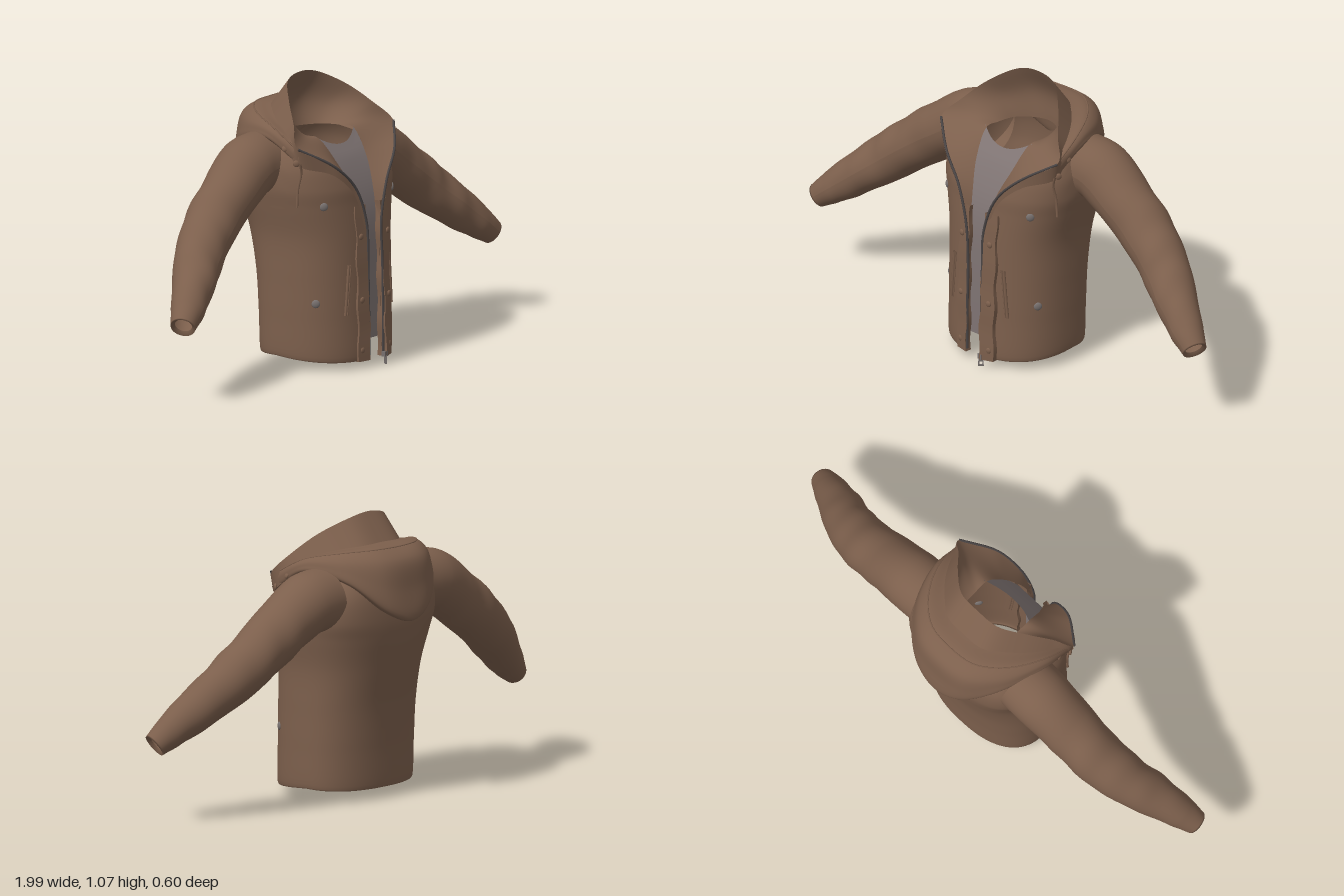
import * as THREE from 'three';
import { toCreasedNormals } from 'three/addons/utils/BufferGeometryUtils.js';

const V = (p) => new THREE.Vector3(...p);
const mat = (name, color) => {
  const m = new THREE.MeshStandardMaterial({ color, side: THREE.DoubleSide });
  m.name = name;
  return m;
};

// Mirrors a back-to-front half curve into one whole curve, from -x to +x
const whole = (half) => [
  ...half.slice(1).reverse().map(([x, y, z]) => [-x, y, z]), ...half,
];

// Smooth row of points through a few control points
const spline = (pts, n) => new THREE.CatmullRomCurve3(pts.map(V)).getPoints(n);

// Grid surface through rows of points with equal counts
function skin(rows) {
  const w = rows[0].length, pos = [], idx = [];
  rows.forEach((r) => r.forEach((p) => pos.push(p.x, p.y, p.z)));
  for (let i = 0; i < rows.length - 1; i++) {
    for (let j = 0; j < w - 1; j++) {
      const a = i * w + j, b = a + w;
      idx.push(a, a + 1, b, a + 1, b + 1, b);
    }
  }
  const g = new THREE.BufferGeometry();
  g.setAttribute('position', new THREE.Float32BufferAttribute(pos, 3));
  g.setIndex(idx);
  g.computeVertexNormals();
  return g;
}

// Blends rows smoothly across the surface too
function blend(rows, n) {
  const cols = rows[0].map((_, j) =>
    new THREE.CatmullRomCurve3(rows.map((r) => r[j])).getPoints(n));
  return skin(Array.from({ length: n + 1 }, (_, i) => cols.map((c) => c[i])));
}

// Body stations: height, half width, front z, back z, front opening half width, squareness of back
const BODY = [
  [0.05, 0.255, 0.265, -0.155, 0.045, 2.4], [0.2, 0.26, 0.265, -0.165, 0.045, 2.4],
  [0.35, 0.26, 0.262, -0.18, 0.045, 2.4], [0.5, 0.263, 0.258, -0.21, 0.045, 2.5],
  [0.62, 0.284, 0.25, -0.232, 0.06, 2.8], [0.69, 0.295, 0.245, -0.236, 0.095, 3.2],
  [0.77, 0.29, 0.222, -0.228, 0.175, 3.4], [0.83, 0.265, 0.18, -0.21, 0.22, 3.2],
  [0.88, 0.215, 0.12, -0.18, 0.2, 2.8],
];
const MID = 0.02, POW = 2.4;

// Front surface depth at a given place on the body
function frontZ(x, y) {
  let i = 0;
  while (i < BODY.length - 2 && BODY[i + 1][0] < y) i++;
  const [a, b] = [BODY[i], BODY[i + 1]];
  const t = THREE.MathUtils.clamp((y - a[0]) / (b[0] - a[0]), 0, 1);
  const w = a[1] + (b[1] - a[1]) * t, f = a[2] + (b[2] - a[2]) * t;
  const k = Math.max(0, 1 - Math.pow(Math.abs(x) / w, POW));
  return MID + (f - MID) * Math.pow(k, 1 / POW);
}

function bodyGeometry() {
  const n = 72;
  const rows = BODY.map(([y, w, f, b, gap, back], k) => {
    const a0 = Math.asin(Math.min(0.97, Math.pow(gap / w, POW / 2)));
    return Array.from({ length: n + 1 }, (_, i) => {
      const a = a0 + (2 * Math.PI - 2 * a0) * (i / n);
      const s = Math.sin(a), c = Math.cos(a), e = 2 / (c > 0 ? POW : back);
      const x = w * Math.sign(s) * Math.abs(s) ** e;
      const z = MID + (c > 0 ? f - MID : MID - b) * Math.sign(c) * Math.abs(c) ** e;
      const dip = k ? 0 : -0.02 * Math.max(0, z / 0.25) - 0.008 * Math.max(0, -z / 0.16);
      return new THREE.Vector3(x, y + dip, z);
    });
  });
  // Turned-in hem
  rows.unshift(rows[0].map((p) => new THREE.Vector3(p.x * 0.965, p.y + 0.012, p.z * 0.965)));
  return blend(rows, 72);
}

// Tapering sleeve with slanted folds, deepest on the underside
function sleeveGeometry(side) {
  const path = new THREE.CatmullRomCurve3([
    [0.235, 0.775, -0.068], [0.33, 0.765, -0.07], [0.45, 0.695, -0.06], [0.57, 0.612, -0.05],
    [0.69, 0.52, -0.02], [0.8, 0.432, 0.03], [0.9, 0.352, 0.075], [0.966, 0.3, 0.1],
  ].map(V));
  const radii = [0.118, 0.117, 0.108, 0.103, 0.095, 0.082, 0.064, 0.046];
  const n = 96, m = 36, rows = [];
  for (let i = 0; i <= n; i++) {
    const t = i / n, p = path.getPoint(t), d = path.getTangent(t);
    const u = new THREE.Vector3(0, 0, 1).addScaledVector(d, -d.z).normalize();
    const v = new THREE.Vector3().crossVectors(u, d);
    const q = t * 7, k = Math.min(6, Math.floor(q));
    const r0 = THREE.MathUtils.lerp(radii[k], radii[k + 1], q - k);
    const fold = Math.min(1, t * 2, (1 - t) * 8) * 0.022;
    rows.push(Array.from({ length: m + 1 }, (_, j) => {
      const a = (j / m) * Math.PI * 2;
      const r = r0 * (1 + fold * (Math.sin(t * 46 + 3 * Math.sin(a)) * (0.6 + 0.5 * Math.cos(a + t * 9))
        + Math.sin(t * 29 - 2 * a) * 0.6));
      const o = p.clone().addScaledVector(u, Math.cos(a) * r).addScaledVector(v, Math.sin(a) * r);
      o.x *= side;
      return o;
    }));
  }
  // Turned-in cuff
  const c = path.getPoint(0.93);
  c.x *= side;
  rows.push(rows[n].map((o) => o.clone().lerp(c, 0.3)));
  return skin(rows);
}

export function createModel() {
  const group = new THREE.Group();
  const cloth = mat('brown cloth', 0x7c5f4c);
  const lining = mat('grey lining', 0x7f7473);
  const metal = mat('grey metal', 0x77706e);
  const dark = mat('dark zip', 0x4a4545);
  const add = (name, geo, m, pos) => {
    const mesh = new THREE.Mesh(geo, m);
    mesh.name = name;
    if (pos) mesh.position.set(...pos);
    group.add(mesh);
    return mesh;
  };
  const tube = (name, pts, r, m) =>
    add(name, new THREE.TubeGeometry(new THREE.CatmullRomCurve3(pts.map(V)), 40, r, 6), m);

  add('body', bodyGeometry(), cloth);

  // Collar: inner funnel and lapels, then the outer fall
  const rim = [[0, 1.07, -0.07], [0.09, 1.055, -0.06], [0.18, 1.0, 0.01], [0.245, 0.93, 0.08],
    [0.298, 0.86, 0.135], [0.185, 0.785, 0.222], [0.095, 0.69, 0.253], [0.045, 0.55, 0.265]];
  const neck = [[0, 0.85, -0.125], [0.06, 0.85, -0.105], [0.102, 0.855, -0.05], [0.11, 0.86, 0.03],
    [0.11, 0.86, 0.09], [0.09, 0.77, 0.165], [0.056, 0.66, 0.222], [0.038, 0.54, 0.252]];
  const fall = [[0, 0.93, -0.17], [0.1, 0.93, -0.155], [0.19, 0.91, -0.07], [0.255, 0.87, 0.03],
    [0.285, 0.79, 0.13], [0.19, 0.75, 0.218], [0.1, 0.665, 0.25], [0.05, 0.53, 0.262]];
  const bulge = neck.map((p, i) => p.map((c, k) =>
    (c + rim[i][k]) / 2 - (k === 2 && i < 3 ? 0.025 : 0)));
  const row = (half, n = 112) => spline(whole(half), n);
  add('collarInside', blend([neck, bulge, rim].map((h) => row(h)), 14), cloth);
  add('collarOutside', skin([rim, fall].map((h) => row(h))), cloth);

  // Hood lying on the shoulders and back
  const hood = [
    [[0, 0.965, -0.145], [0.1, 0.96, -0.125], [0.19, 0.94, -0.05], [0.25, 0.905, 0.04], [0.278, 0.86, 0.12]],
    [[0, 0.955, -0.215], [0.11, 0.955, -0.2], [0.205, 0.945, -0.12], [0.268, 0.918, 0], [0.287, 0.85, 0.13]],
    [[0, 0.915, -0.272], [0.12, 0.915, -0.25], [0.222, 0.92, -0.15], [0.28, 0.908, -0.01], [0.29, 0.835, 0.135]],
    [[0, 0.81, -0.292], [0.12, 0.83, -0.272], [0.225, 0.885, -0.17], [0.284, 0.895, -0.015], [0.29, 0.815, 0.138]],
    [[0, 0.69, -0.3], [0.105, 0.73, -0.28], [0.22, 0.84, -0.185], [0.285, 0.88, -0.02], [0.282, 0.79, 0.135]],
    [[0, 0.695, -0.255], [0.1, 0.735, -0.235], [0.2, 0.835, -0.15], [0.25, 0.85, -0.01], [0.258, 0.79, 0.12]],
    [[0, 0.8, -0.22], [0.1, 0.81, -0.21], [0.18, 0.84, -0.13], [0.22, 0.82, 0], [0.235, 0.79, 0.1]],
  ];
  add('hood', blend(hood.map((h) => row(h, 64)), 48), cloth);
  tube('hoodSeam', whole(hood[1]), 0.003, cloth);

  // Grey inner panel with a scooped neckline
  const panel = [[0.1, 0.06, 0.248], [0.35, 0.06, 0.248], [0.55, 0.06, 0.238],
    [0.66, 0.075, 0.212], [0.77, 0.1, 0.16], [0.865, 0.12, 0.085]];
  add('innerPanel', blend(panel.map(([y, w, z], k) => Array.from({ length: 17 }, (_, i) => {
    const s = i / 8 - 1, top = k === 5 ? 1 : 0;
    return new THREE.Vector3(s * w, y - top * 0.042 * (1 - s * s), z + top * 0.035 * (1 - s * s));
  })), 24), lining);

  for (const side of [-1, 1]) {
    const name = side > 0 ? 'left' : 'right';
    add(name + 'Sleeve', sleeveGeometry(side), cloth);

    // Raised front placket
    const x0 = side > 0 ? 0.043 : 0.036, x1 = x0 + 0.055, lift = side > 0 ? 0.03 : 0.015;
    const strip = Array.from({ length: 25 }, (_, i) => {
      const y = 0.028 + i * 0.0245, l = lift * (1 - 0.6 * i / 24);
      return [[x0, -0.012], [x0, l], [x1, l * 0.7], [x1, -0.012]].map(([x, d]) =>
        new THREE.Vector3(side * (x + 0.004 * Math.sin(i * 0.9)), y, frontZ(x, y) + d));
    });
    add(name + 'Placket', toCreasedNormals(skin(strip), 0.7), cloth);

    // Zip along the lapel and opening
    const zip = rim.slice(4).map(([x, y, z]) => [side * x, y - 0.004, z + 0.003]);
    for (const y of [0.4, 0.2, 0.04]) zip.push([side * x0, y, frontZ(x0, y) + lift * 0.5]);
    tube(name + 'Zip', zip, 0.005, dark);

    // Welted pocket
    const slit = [0.4, 0.34, 0.27, 0.21].map((y, i) => {
      const x = 0.115 + i * 0.006;
      return [side * x, y, frontZ(x, y) + 0.001];
    });
    tube(name + 'PocketSlit', slit, 0.003, cloth);
    tube(name + 'PocketWelt', slit.map(([x, y, z]) => [x + side * 0.01, y, z - 0.002]), 0.006, cloth);

    // Hood cord
    tube(name + 'Cord', [[side * 0.286, 0.8, 0.14], [side * 0.274, 0.76, 0.135],
      [side * 0.276, 0.7, 0.122], [side * 0.28, 0.63, 0.12]], 0.005, cloth);

    // Buttons, snaps and eyelets
    const stud = (label, x, y, z, r, m, dir) => {
      const b = add(label, new THREE.SphereGeometry(r, 14, 8), m, [side * x, y, z]);
      b.scale.z = 0.45;
      b.lookAt(side * (x + dir[0]), y + dir[1], z + dir[2]);
    };
    stud(name + 'ChestButton', 0.212, 0.63, frontZ(0.212, 0.63), 0.016, metal, [0.7, 0, 0.7]);
    stud(name + 'WaistButton', 0.225, 0.26, frontZ(0.225, 0.26), 0.016, metal, [0.8, 0, 0.6]);
    for (const y of [0.5, 0.26, 0.07]) {
      stud(name + 'Snap', x0 + 0.036, y, frontZ(0.08, y) + lift * 0.7, 0.012, cloth, [0.1, 0, 1]);
    }
    stud(name + 'Eyelet', 0.29, 0.8, 0.125, 0.013, cloth, [0.8, 0, 0.6]);
    stud(name + 'CollarSnap', 0.288, 0.85, 0.07, 0.012, cloth, [0.9, 0.3, 0.3]);
  }

  // Zip slider and pull hanging below the hem
  add('zipSlider', new THREE.BoxGeometry(0.02, 0.02, 0.016), metal, [0.045, 0.038, 0.284]);
  const pull = new THREE.Shape([[-0.011, 0], [0.011, 0], [0.008, 0.032], [-0.008, 0.032]]
    .map(([x, y]) => new THREE.Vector2(x, y)));
  pull.holes.push(new THREE.Path([[-0.006, 0.006], [-0.006, 0.018], [0.006, 0.018], [0.006, 0.006]]
    .map(([x, y]) => new THREE.Vector2(x, y))));
  const pullGeo = new THREE.ExtrudeGeometry(pull, { depth: 0.006, bevelEnabled: false });
  add('zipPull', pullGeo, metal, [0.045, 0, 0.284]).rotation.y = 0.9;

  return group;
}
